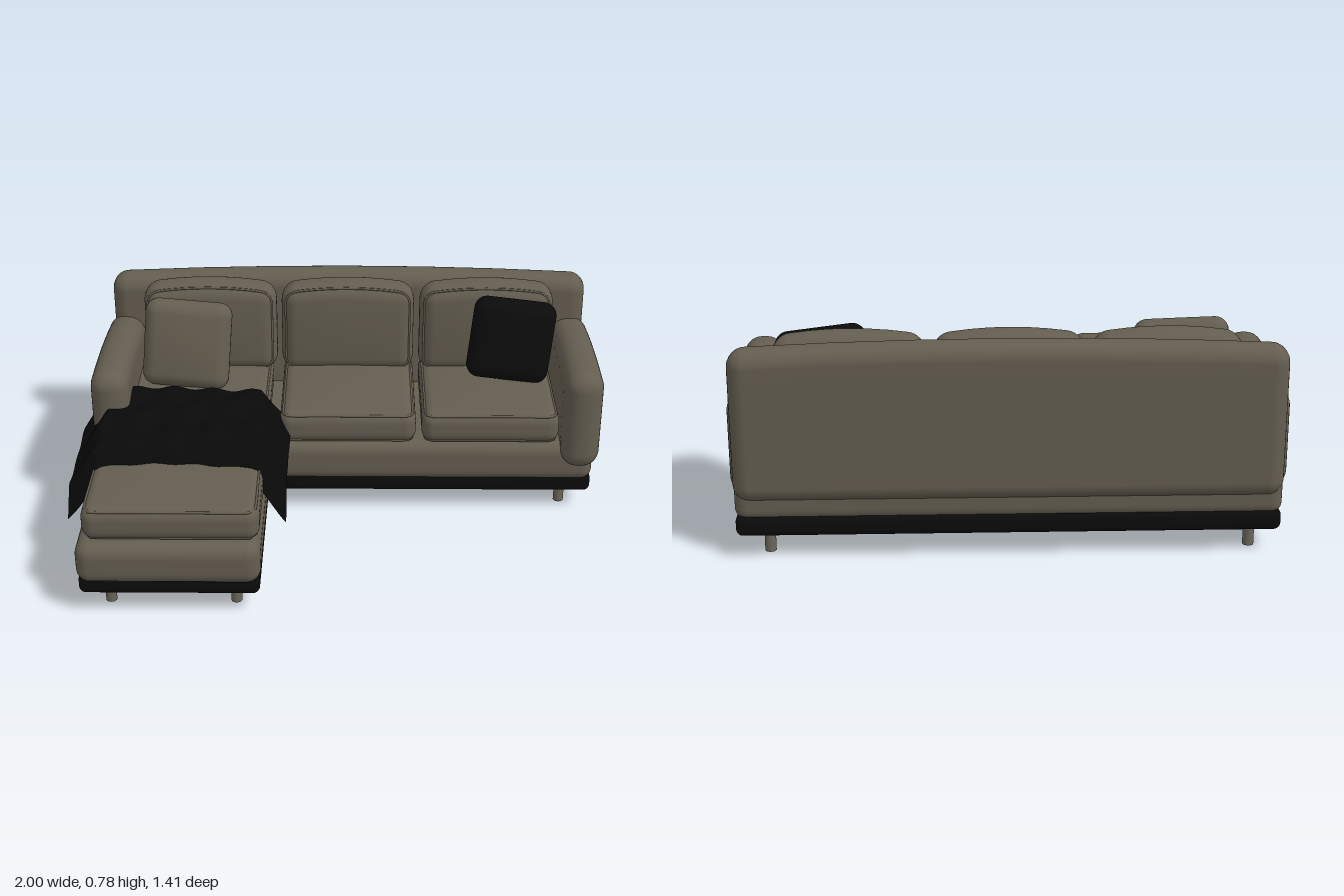
import * as THREE from 'three';
import { mergeVertices } from 'three/addons/utils/BufferGeometryUtils.js';

const fabric = new THREE.MeshStandardMaterial({ color: 0x645d50 });
fabric.name = 'taupe fabric';
const black = new THREE.MeshStandardMaterial({ color: 0x0b0b0b });
black.name = 'black';
const throwBlack = new THREE.MeshStandardMaterial({ color: 0x090909, side: THREE.DoubleSide });
throwBlack.name = 'throw black';
const legGrey = new THREE.MeshStandardMaterial({ color: 0x6b655a });
legGrey.name = 'leg grey';

const clamp = THREE.MathUtils.clamp;
const AXES = ['x', 'y', 'z'];

// Box with rounded edges and subdivided faces, reshaped by warp(point, halfSize)
function softBox(size, r, warp) {
  const half = size.map((s) => s / 2);
  const n = 14;
  let geo = new THREE.BoxGeometry(2, 2, 2, n, n, n);
  geo.deleteAttribute('uv');
  geo.deleteAttribute('normal');
  geo = mergeVertices(geo, 1e-4);
  const pos = geo.attributes.position;
  const p = new THREE.Vector3(), core = new THREE.Vector3();
  for (let i = 0; i < pos.count; i++) {
    p.fromBufferAttribute(pos, i);
    AXES.forEach((a, k) => {
      const s = Math.abs(p[a]), inner = half[k] - r;
      const c = s <= 3 / 7 + 1e-5
        ? (s * 7 / 3) * inner
        : inner + r * Math.tan((s - 3 / 7) * (7 / 4) * Math.PI / 4);
      p[a] = Math.sign(p[a]) * c;
      core[a] = clamp(p[a], -inner, inner);
    });
    p.sub(core).setLength(r).add(core);
    if (warp) warp(p, half);
    pos.setXYZ(i, p.x, p.y, p.z);
  }
  geo.computeVertexNormals();
  return geo;
}

// Piping cord around one rounded edge loop; normal is the axis the loop faces
function pipingLoop(size, r, normal, side, warp) {
  const half = size.map((s) => s / 2);
  const [u, v] = AXES.filter((a) => a !== normal);
  const h = (a) => half[AXES.indexOf(a)];
  const pts = [];
  const k = r * Math.SQRT1_2;
  [[1, 1], [-1, 1], [-1, -1], [1, -1]].forEach(([su, sv], q) => {
    for (let j = 0; j <= 4; j++) {
      const t = (q + j / 4) * Math.PI / 2;
      const p = new THREE.Vector3();
      p[u] = su * (h(u) - r) + k * Math.cos(t);
      p[v] = sv * (h(v) - r) + k * Math.sin(t);
      p[normal] = side * (h(normal) - r + k);
      pts.push(p);
    }
    // Extra points along the straight run so the cord follows the warp
    const [nu, nv] = [[-1, 1], [-1, -1], [1, -1], [1, 1]][q];
    const t = (q + 1) * Math.PI / 2;
    for (let j = 1; j < 5; j++) {
      const p = new THREE.Vector3();
      p[u] = (su + (nu - su) * j / 5) * (h(u) - r) + k * Math.cos(t);
      p[v] = (sv + (nv - sv) * j / 5) * (h(v) - r) + k * Math.sin(t);
      p[normal] = side * (h(normal) - r + k);
      pts.push(p);
    }
  });
  if (warp) pts.forEach((p) => warp(p, half));
  return new THREE.TubeGeometry(new THREE.CatmullRomCurve3(pts, true), 96, 0.005, 6, true);
}

// Warps
const domeTop = (amount) => (p, h) => {
  if (p.y > 0) p.y += amount * (1 - (p.x / h[0]) ** 2) * (1 - (p.z / h[2]) ** 2);
};
const archX = (amount) => (p, h) => {
  if (p.y > 0) p.y += amount * (1 - (p.x / h[0]) ** 2);
};
const archZ = (amount) => (p, h) => {
  if (p.y > 0) p.y += amount * (1 - (p.z / h[2]) ** 2) + 0.02 * (p.z / h[2]);
};
const backPuff = (p, h) => {
  archX(0.025)(p, h);
  if (p.z > 0) p.z += 0.012 * (1 - (p.x / h[0]) ** 2) * (1 - clamp(p.y / h[1], -1, 1) ** 2);
};
const pillowPuff = (p, h) => {
  const e = (1 - (p.x / h[0]) ** 2) * (1 - (p.y / h[1]) ** 2);
  p.z *= 0.82 + 0.28 * e;
};

export function createModel() {
  const model = new THREE.Group();
  model.name = 'sectionalSofa';

  const add = (name, geo, mat, pos = [0, 0, 0], rot = [0, 0, 0], parent = model) => {
    const mesh = new THREE.Mesh(geo, mat);
    mesh.name = name;
    mesh.position.set(...pos);
    mesh.rotation.set(...rot);
    parent.add(mesh);
    return mesh;
  };

  // Soft box placed by its extents; pipes lists [axis, side] cord loops
  const block = (name, [x0, x1], [y0, y1], [z0, z1], r, mat, warp, pipes = []) => {
    const size = [x1 - x0, y1 - y0, z1 - z0];
    const mesh = add(name, softBox(size, r, warp), mat, [(x0 + x1) / 2, (y0 + y1) / 2, (z0 + z1) / 2]);
    pipes.forEach(([axis, side]) =>
      add(name + 'Piping', pipingLoop(size, r, axis, side, warp), mat, [0, 0, 0], [0, 0, 0], mesh));
  };

  // Plinths and upholstered bases
  block('mainPlinth', [-0.93, 0.975], [0.083, 0.16], [-0.685, -0.04], 0.025, black);
  block('chaisePlinth', [-0.93, -0.285], [0.083, 0.16], [-0.66, 0.682], 0.025, black);
  block('mainBase', [-0.935, 0.978], [0.135, 0.297], [-0.68, -0.03], 0.045, fabric);
  block('chaiseBase', [-0.935, -0.28], [0.135, 0.297], [-0.66, 0.706], 0.05, fabric);

  // Backrest and arms
  block('backrest', [-0.935, 0.98], [0.21, 0.755], [-0.705, -0.57], 0.06, fabric, archX(0.025));
  block('rightArm', [-0.955, -0.81], [0.215, 0.595], [-0.65, 0.027], 0.065, fabric, archZ(0.02));
  block('leftArm', [0.848, 0.995], [0.215, 0.595], [-0.65, 0.027], 0.065, fabric, archZ(0.02));

  // Seat cushions
  const seatPipes = [['y', 1], ['y', -1]];
  block('chaiseCushion', [-0.91, -0.283], [0.292, 0.422], [-0.59, 0.664], 0.045, fabric, domeTop(0.014), seatPipes);
  block('middleSeatCushion', [-0.24, 0.287], [0.292, 0.422], [-0.59, -0.043], 0.045, fabric, domeTop(0.014), seatPipes);
  block('leftSeatCushion', [0.31, 0.842], [0.292, 0.422], [-0.59, -0.043], 0.045, fabric, domeTop(0.014), seatPipes);

  // Back cushions
  [[-0.795, -0.265], [-0.245, 0.285], [0.308, 0.84]].forEach((xs) =>
    block('backCushion', xs, [0.4, 0.758], [-0.585, -0.445], 0.06, fabric, backPuff, [['z', 1]]));

  // Scatter pillows
  add('greyPillow', softBox([0.34, 0.345, 0.12], 0.05, pillowPuff), fabric,
    [-0.61, 0.592, -0.315], [-0.22, -0.06, -0.07]);
  add('blackPillow', softBox([0.325, 0.325, 0.12], 0.05, pillowPuff), black,
    [0.668, 0.592, -0.363], [-0.2, 0.03, -0.12]);

  // Throw draped across the chaise
  const cloth = new THREE.PlaneGeometry(0.8, 0.55, 56, 36);
  cloth.rotateX(-Math.PI / 2);
  cloth.translate(-0.6, 0, 0.127);
  const cp = cloth.attributes.position;
  for (let i = 0; i < cp.count; i++) {
    const x = cp.getX(i), z = cp.getZ(i);
    const side = clamp((Math.abs(x + 0.6) - 0.29) / 0.11, 0, 1);
    const front = clamp((z - 0.32) / 0.08, 0, 1);
    const wave = 0.007 * Math.sin(x * 42 + 3 * Math.sin(z * 7)) + 0.006 * Math.sin(z * 31 + x * 9);
    cp.setY(i, 0.479 + wave - 0.148 * side - 0.105 * front);
  }
  cloth.computeVertexNormals();
  add('throwBlanket', cloth, throwBlack);

  // Legs
  const leg = new THREE.CylinderGeometry(0.02, 0.02, 0.09, 20);
  [[-0.83, -0.6], [0.865, -0.6], [0.865, -0.125], [-0.265, -0.125], [-0.83, 0.585], [-0.375, 0.585]]
    .forEach(([x, z]) => add('leg', leg, legGrey, [x, 0.045, z]));

  return model;
}
